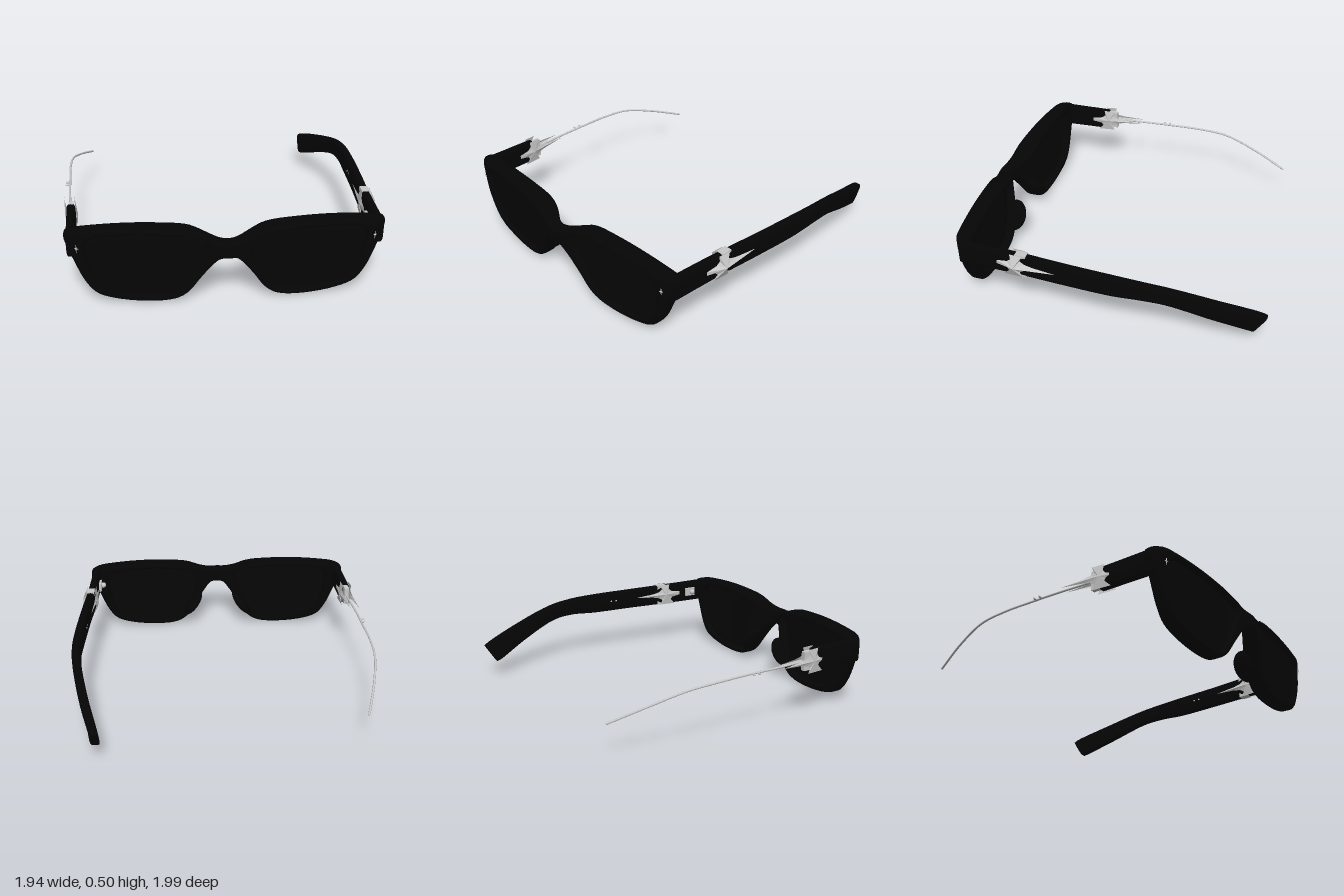
import * as THREE from 'three';
import { toCreasedNormals } from 'three/addons/utils/BufferGeometryUtils.js';

const black = new THREE.MeshStandardMaterial({ color: 0x050505 });
black.name = 'black acetate';
const tint = new THREE.MeshStandardMaterial({ color: 0x060606, side: THREE.DoubleSide });
tint.name = 'dark lens';
const silver = new THREE.MeshStandardMaterial({ color: 0xc8c8c8, side: THREE.DoubleSide });
silver.name = 'silver metal';

const spline = (pts, n) => new THREE.CatmullRomCurve3(
  pts.map(([x, y]) => new THREE.Vector3(x, y, 0)), true, 'centripetal')
  .getPoints(n).slice(0, -1).map(p => new THREE.Vector2(p.x, p.y));

// Depth of the front's curved faces; t runs from back (0) to front (1)
function depthAt(x, y, t) {
  const a = Math.abs(x);
  const corner = Math.max(0, (a - 0.83) / 0.1) ** 2;
  const brow = Math.max(0, (y - 0.42) / 0.08) ** 2;
  const bridge = Math.exp(-((a / 0.12) ** 2));
  const front = 0.968 - 0.075 * a * a + 0.028 * bridge - 0.045 * corner - 0.015 * brow
    - 0.08 * (0.45 - Math.min(y, 0.45)) * Math.min(1, a / 0.2);
  const back = 0.83 - 0.035 * a + 0.08 * bridge + 0.015 * brow;
  return back + (front - back) * t;
}

// Split long triangles, then curve the flat extrusion
function bend(geo, toT) {
  const src = geo.toNonIndexed().attributes.position, pos = [];
  const split = (a, b, c) => {
    const ab = a.distanceTo(b), bc = b.distanceTo(c), ca = c.distanceTo(a);
    const longest = Math.max(ab, bc, ca);
    if (longest < 0.05) {
      for (const p of [a, b, c]) pos.push(p.x, p.y, depthAt(p.x, p.y, toT(p.z)));
    } else if (longest === ab) {
      const m = a.clone().add(b).multiplyScalar(0.5);
      split(a, m, c);
      split(m, b, c);
    } else if (longest === bc) split(b, c, a);
    else split(c, a, b);
  };
  const at = i => new THREE.Vector3().fromBufferAttribute(src, i);
  for (let i = 0; i < src.count; i += 3) split(at(i), at(i + 1), at(i + 2));
  const g = new THREE.BufferGeometry();
  g.setAttribute('position', new THREE.Float32BufferAttribute(pos, 3));
  return toCreasedNormals(g, 0.7);
}

// Tapered bar lofted between a top line and a bottom line of [x, y, z] points
function loft(top, bottom, half, steps) {
  const curve = pts => new THREE.CatmullRomCurve3(pts.map(p => new THREE.Vector3(...p)), false, 'centripetal');
  const a = curve(top), b = curve(bottom), sides = 20, pos = [], idx = [];
  const soft = v => Math.sign(v) * Math.abs(v) ** 0.45;
  for (let i = 0; i <= steps; i++) {
    const p = a.getPoint(i / steps), q = b.getPoint(i / steps);
    for (let j = 0; j < sides; j++) {
      const ang = j / sides * Math.PI * 2;
      const c = q.clone().lerp(p, (1 + soft(Math.sin(ang))) / 2);
      pos.push(c.x + half * soft(Math.cos(ang)), c.y, c.z);
    }
  }
  for (let i = 0; i < steps; i++) {
    for (let j = 0; j < sides; j++) {
      const k = i * sides + j, l = i * sides + (j + 1) % sides;
      idx.push(k, k + sides, l, l, k + sides, l + sides);
    }
  }
  const end = steps * sides;
  for (let j = 1; j < sides - 1; j++) idx.push(0, j, j + 1, end, end + j + 1, end + j);
  const g = new THREE.BufferGeometry();
  g.setAttribute('position', new THREE.Float32BufferAttribute(pos, 3));
  g.setIndex(idx);
  return toCreasedNormals(g, 0.7);
}

// Faceted ornament: outline fanned up to a raised centre
function facets(outline, height) {
  const pos = [];
  outline.forEach((p, i) => {
    const q = outline[(i + 1) % outline.length];
    pos.push(0, 0, height, p[0], p[1], 0, q[0], q[1], 0);
  });
  const g = new THREE.BufferGeometry();
  g.setAttribute('position', new THREE.Float32BufferAttribute(pos, 3));
  g.computeVertexNormals();
  return g;
}

const STAR = [[0.26, 0], [0.11, 0.013], [0.06, 0.024], [0.035, 0.042], [0.05, 0.077], [-0.03, 0.077],
  [-0.025, 0.042], [-0.05, 0.022], [-0.12, 0.012], [-0.12, -0.012], [-0.055, -0.025], [-0.04, -0.045],
  [-0.075, -0.076], [0.045, -0.076], [0.03, -0.042], [0.06, -0.024], [0.11, -0.013]];
const CROSS = [[0.016, 0], [0.004, 0.004], [0, 0.03], [-0.004, 0.004], [-0.016, 0],
  [-0.004, -0.004], [0, -0.03], [0.004, -0.004]];

export function createModel() {
  const model = new THREE.Group();
  model.name = 'sunglasses';
  const add = (name, geo, mat, x = 0, y = 0, z = 0) => {
    const m = new THREE.Mesh(geo, mat);
    m.name = name;
    m.position.set(x, y, z);
    model.add(m);
    return m;
  };

  // Front: one half outline, mirrored, with two lens openings
  const half = [[0, 0.415], [0.06, 0.418], [0.13, 0.438], [0.23, 0.477], [0.4, 0.495], [0.58, 0.5],
    [0.78, 0.49], [0.89, 0.476], [0.925, 0.46], [0.932, 0.42], [0.912, 0.36], [0.88, 0.28], [0.82, 0.14],
    [0.76, 0.065], [0.65, 0.025], [0.45, 0.003], [0.3, 0.018], [0.225, 0.065], [0.15, 0.175],
    [0.087, 0.265], [0.045, 0.306], [0, 0.31]];
  const rim = half.concat(half.slice(1, -1).reverse().map(([x, y]) => [-x, y])).reverse();
  const opening = [[0.13, 0.4], [0.2, 0.432], [0.4, 0.452], [0.6, 0.455], [0.76, 0.44], [0.81, 0.4],
    [0.805, 0.3], [0.77, 0.16], [0.71, 0.08], [0.6, 0.052], [0.42, 0.042], [0.29, 0.065],
    [0.225, 0.15], [0.155, 0.3]];
  const mirrored = s => opening.map(([x, y]) => [x * s, y]);
  const shape = new THREE.Shape(spline(rim, 160));
  for (const s of [1, -1]) shape.holes.push(new THREE.Path(spline(mirrored(s), 72)));
  const thick = 0.035, size = 0.019;
  const front = new THREE.ExtrudeGeometry(shape, {
    depth: 0.05, bevelEnabled: true, bevelThickness: thick, bevelSize: size,
    bevelOffset: -size, bevelSegments: 4, steps: 1,
  });
  add('frontFrame', bend(front, z => (z + thick) / 0.12), black);

  for (const s of [1, -1]) {
    // Lenses set into the rims
    const lens = new THREE.ExtrudeGeometry(new THREE.Shape(spline(mirrored(s), 72)),
      { depth: 0.02, bevelEnabled: true, bevelSize: 0.01, bevelThickness: 0.004, bevelSegments: 1 });
    add('lens', bend(lens, z => 0.5 + z * 8), tint);

    // Nose pads, leaning along the nose cutout
    const pad = add('nosePad', new THREE.SphereGeometry(1, 28, 18), black, s * 0.182, 0.167, 0.835);
    pad.scale.set(0.036, 0.105, 0.077);
    pad.rotation.z = s * 0.62;

    // Small cross studs on the front corners
    const stud = add('cornerStud', facets(CROSS, 0.006), silver, s * 0.86, 0.38, depthAt(0.86, 0.38, 1) + 0.003);
    stud.rotation.y = s * 0.35;
  }

  // Full left temple with a drooping tip
  add('leftTemple', loft(
    [[0.892, 0.465, 0.87], [0.905, 0.458, 0.5], [0.925, 0.452, 0.2], [0.939, 0.446, -0.1], [0.94, 0.436, -0.28],
      [0.923, 0.412, -0.45], [0.865, 0.335, -0.72], [0.797, 0.25, -0.965], [0.79, 0.232, -0.997]],
    [[0.892, 0.31, 0.87], [0.905, 0.31, 0.5], [0.925, 0.31, 0.2], [0.939, 0.31, -0.1], [0.94, 0.32, -0.28],
      [0.923, 0.305, -0.43], [0.865, 0.21, -0.68], [0.797, 0.12, -0.885], [0.79, 0.11, -0.92]],
    0.028, 60), black);

  // Short right temple stub, continued by a bare wire core
  add('rightTempleStub', loft([[-0.892, 0.465, 0.87], [-0.905, 0.458, 0.5]],
    [[-0.892, 0.31, 0.87], [-0.905, 0.31, 0.5]], 0.027, 8), black);
  const wire = new THREE.CatmullRomCurve3([[-0.905, 0.385, 0.52], [-0.93, 0.385, 0.2], [-0.938, 0.385, 0],
    [-0.947, 0.38, -0.2], [-0.94, 0.363, -0.4], [-0.895, 0.3, -0.62], [-0.826, 0.22, -0.845]]
    .map(p => new THREE.Vector3(...p)));
  add('wireCore', new THREE.TubeGeometry(wire, 60, 0.007, 8), silver);
  add('wireTip', new THREE.SphereGeometry(0.007, 8, 6), silver, -0.826, 0.22, -0.845);

  // Star ornaments: [x, height, facing, splay]
  for (const [x, height, facing, splay] of [[0.935, 0.036, 1, -0.06], [0.876, 0.012, -1, -0.06],
    [-0.933, 0.01, -1, 0.12], [-0.877, 0.012, 1, 0.1]]) {
    const star = add('starOrnament', facets(STAR, height), silver, x, 0.385, 0.5);
    star.rotation.y = facing * Math.PI / 2 + splay;
    star.scale.x = facing;
  }

  // Clasps joining the stars around the temples
  add('leftClasp', new THREE.BoxGeometry(0.05, 0.152, 0.07), silver, 0.907, 0.385, 0.465);
  add('rightClasp', new THREE.BoxGeometry(0.03, 0.12, 0.07), silver, -0.907, 0.385, 0.47);

  // Inner hinge on the full temple
  add('hingePlate', new THREE.BoxGeometry(0.02, 0.06, 0.08), silver, 0.864, 0.385, 0.71);
  add('hingeScrew', new THREE.SphereGeometry(0.02, 14, 10), silver, 0.842, 0.385, 0.72);

  // Small pins along the temples
  for (const z of [0.04, 0.08]) {
    for (const x of [-0.95, 0.916]) {
      const pin = add('pin', new THREE.CylinderGeometry(0.006, 0.006, 0.03, 10), silver, x, 0.385, z);
      pin.rotation.z = Math.PI / 2;
    }
  }
  return model;
}
